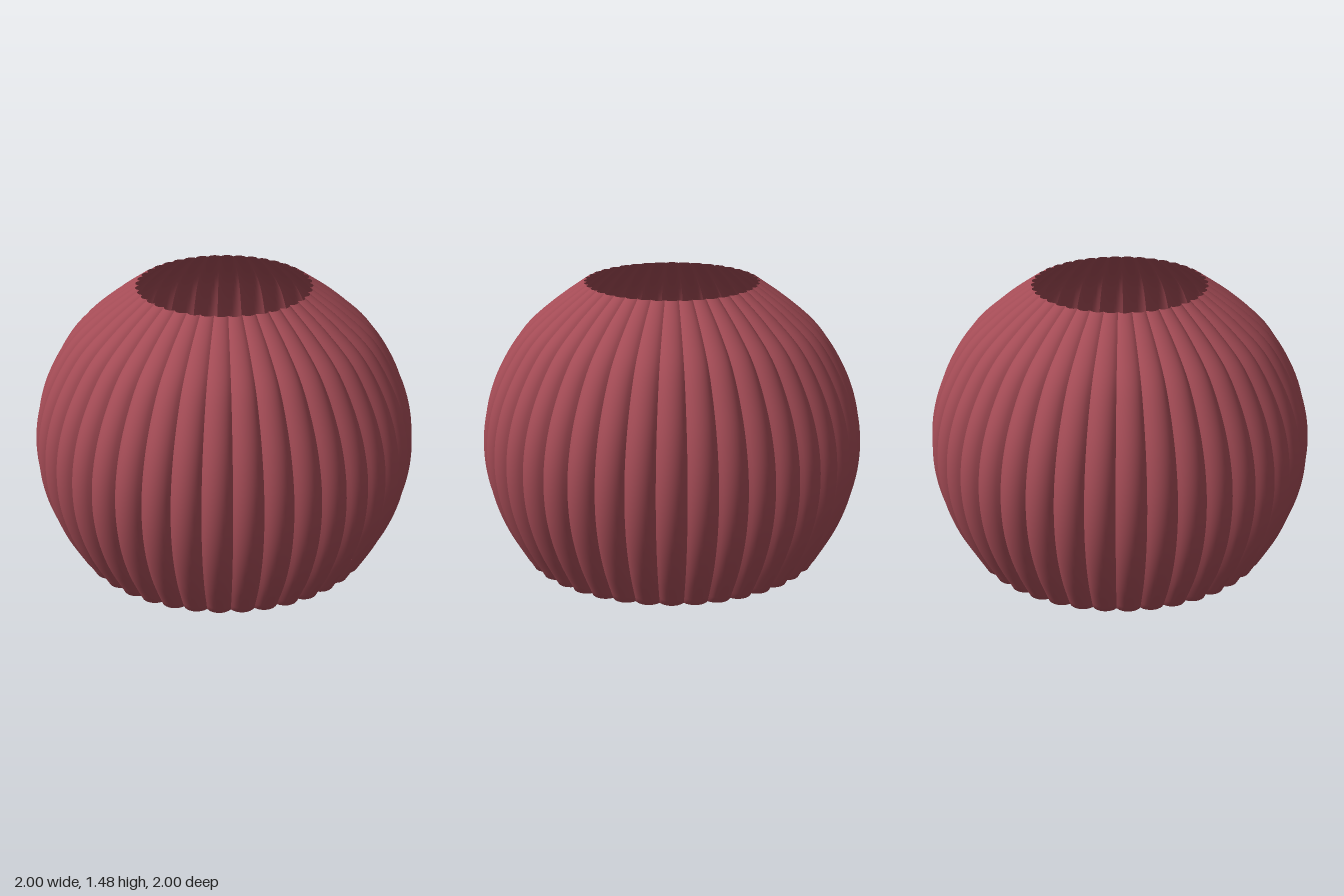
import * as THREE from 'three';
import { mergeGeometries } from 'three/addons/utils/BufferGeometryUtils.js';

const LOBES = 40, STEPS = 10;
const LOBE_ANGLE = (Math.PI * 2) / LOBES;

// Rounded flute: 1 at the middle of a lobe, 0 in the grooves (u from -1 to 1)
const flute = (u) => (Math.sqrt(1 - 0.64 * u * u) - 0.6) / 0.4;
const fluteScale = (u) => 0.962 + 0.041 * flute(u);

export function createModel() {
  const group = new THREE.Group();
  group.name = 'flutedVase';
  const material = new THREE.MeshStandardMaterial({ color: 0xa34b55, side: THREE.DoubleSide });

  // Side profile (radius, height), with a narrow turned-in foot
  const curve = new THREE.SplineCurve([
    [0.798, 0.006], [0.905, 0.2], [0.975, 0.4], [1, 0.6], [0.98, 0.8],
    [0.912, 1.0], [0.79, 1.2], [0.63, 1.35], [0.455, 1.475],
  ].map(([r, y]) => new THREE.Vector2(r, y)));
  const profile = [new THREE.Vector2(0.775, 0), ...curve.getSpacedPoints(40)];
  const rows = profile.length - 1;

  // One lobe, bent from a flat grid; grooves stay sharp because lobes share no vertices
  const lobe = new THREE.PlaneGeometry(2, 1, STEPS, rows);
  const pos = lobe.attributes.position;
  for (let i = 0; i < pos.count; i++) {
    const u = pos.getX(i);
    const p = profile[Math.round((pos.getY(i) + 0.5) * rows)];
    const r = p.x * fluteScale(u);
    const angle = ((u + 1) / 2) * LOBE_ANGLE;
    pos.setXYZ(i, r * Math.sin(angle), p.y, r * Math.cos(angle));
  }
  lobe.computeVertexNormals();

  const lobes = [];
  for (let i = 0; i < LOBES; i++) lobes.push(lobe.clone().rotateY(i * LOBE_ANGLE));
  const wall = new THREE.Mesh(mergeGeometries(lobes), material);
  wall.name = 'flutedWall';
  group.add(wall);

  // Flat scalloped floor closing the bottom
  const outline = [];
  for (let i = 0; i < LOBES * STEPS; i++) {
    const u = ((i % STEPS) / STEPS) * 2 - 1;
    const r = profile[0].x * fluteScale(u);
    const angle = (i / STEPS) * LOBE_ANGLE;
    outline.push(new THREE.Vector2(r * Math.cos(angle), r * Math.sin(angle)));
  }
  const floor = new THREE.Mesh(new THREE.ShapeGeometry(new THREE.Shape(outline)).rotateX(Math.PI / 2), material);
  floor.name = 'floor';
  group.add(floor);

  return group;
}
